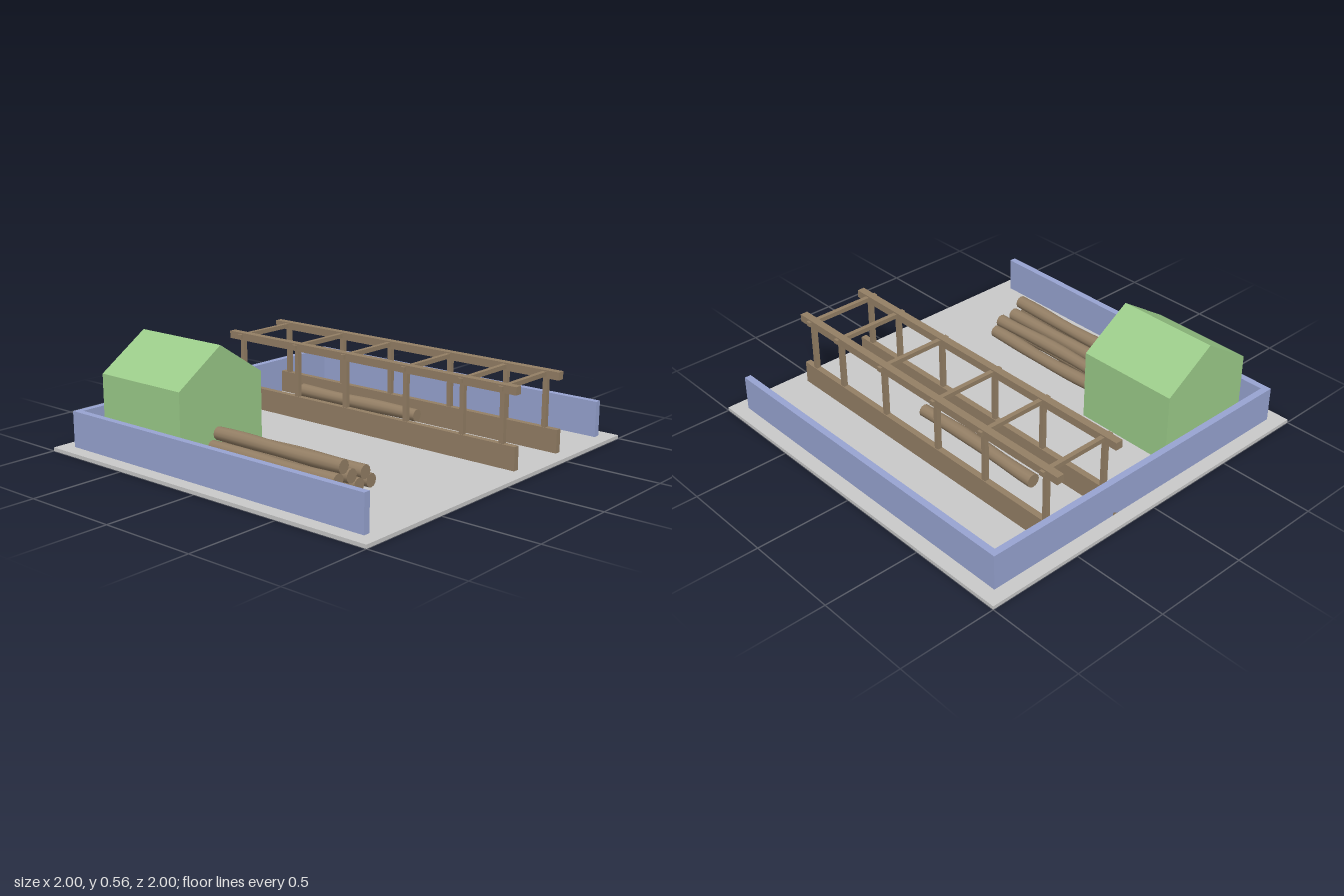
import * as THREE from 'three';

const mat = (name, color) => {
  const m = new THREE.MeshStandardMaterial({ color });
  m.name = name;
  return m;
};

export function createModel() {
  const grey = mat('ground grey', 0xc9c9c9);
  const blue = mat('wall blue', 0x98a4d2);
  const green = mat('shed green', 0x9ccc8a);
  const brown = mat('wood brown', 0x947f65);

  const model = new THREE.Group();
  model.name = 'timberYard';

  const add = (parent, name, geometry, material) => {
    const mesh = new THREE.Mesh(geometry, material);
    mesh.name = name;
    parent.add(mesh);
    return mesh;
  };
  // Box given by its lower and upper corners
  const box = (parent, name, material, [x0, y0, z0], [x1, y1, z1]) => {
    const g = new THREE.BoxGeometry(x1 - x0, y1 - y0, z1 - z0);
    g.translate((x0 + x1) / 2, (y0 + y1) / 2, (z0 + z1) / 2);
    return add(parent, name, g, material);
  };
  const group = (name) => {
    const g = new THREE.Group();
    g.name = name;
    model.add(g);
    return g;
  };

  // Ground slab
  box(model, 'ground', grey, [-1, 0, -1], [1, 0.018, 1]);

  // Low wall on three sides, open to the front
  const walls = group('walls');
  const wallTop = 0.202;
  box(walls, 'backWall', blue, [-0.927, 0.018, -0.927], [0.927, wallTop, -0.892]);
  box(walls, 'rightWall', blue, [-0.927, 0.018, -0.892], [-0.892, wallTop, 0.927]);
  box(walls, 'leftWall', blue, [0.892, 0.018, -0.892], [0.927, wallTop, 0.927]);

  // Shed with a gabled roof, extruded along z
  const gable = new THREE.Shape([
    [-0.82, 0.018], [-0.276, 0.018], [-0.276, 0.388], [-0.548, 0.565], [-0.82, 0.388],
  ].map(([x, y]) => new THREE.Vector2(x, y)));
  const shed = new THREE.ExtrudeGeometry(gable, { depth: 0.544, bevelEnabled: false });
  shed.translate(0, 0, -0.82);
  add(model, 'shed', shed, green);

  // Timber rack: sill beams, posts, top rails and rungs
  const rack = group('rack');
  for (const x of [0.179, 0.543]) {
    box(rack, 'sillBeam', brown, [x - 0.016, 0.018, -0.927], [x + 0.016, 0.136, 0.927]);
    box(rack, 'topRail', brown, [x - 0.02, 0.384, -0.927], [x + 0.02, 0.424, 0.927]);
  }
  for (const z of [0.846, 0.616, 0.274, -0.115, -0.446, -0.843]) {
    for (const x of [0.179, 0.543]) {
      box(rack, 'post', brown, [x - 0.012, 0.13, z - 0.012], [x + 0.012, 0.39, z + 0.012]);
    }
    box(rack, 'rung', brown, [0.145, 0.394, z - 0.012], [0.577, 0.417, z + 0.012]);
  }

  // Slightly crooked logs lying along z
  let seed = 7;
  const random = () => (seed = (seed * 16807) % 2147483647) / 2147483647;
  const log = (parent, x, y, zBack) => {
    const g = new THREE.CylinderGeometry(0.034, 0.034, 0.78, 12, 10);
    g.rotateX(Math.PI / 2);
    const p = g.attributes.position;
    const a = random() * 6.28, b = random() * 6.28;
    for (let i = 0; i < p.count; i++) {
      const z = p.getZ(i);
      const swell = 1 + 0.05 * Math.sin(z * 13 + b);
      p.setX(i, p.getX(i) * swell + 0.004 * Math.sin(z * 7 + a));
      p.setY(i, p.getY(i) * swell + 0.002 * Math.sin(z * 8 + b));
    }
    add(parent, 'log', g, brown).position.set(x, y, zBack + 0.39);
  };

  const pile = group('logPile');
  const rows = [
    [0.056, [-0.735, -0.642, -0.548, -0.456]],
    [0.11, [-0.69, -0.598, -0.505]],
    [0.166, [-0.645]],
  ];
  for (const [y, xs] of rows) for (const x of xs) log(pile, x, y, -0.2);

  // Single log inside the rack
  log(group('rackedLog'), 0.363, 0.11, -0.58);

  return model;
}
